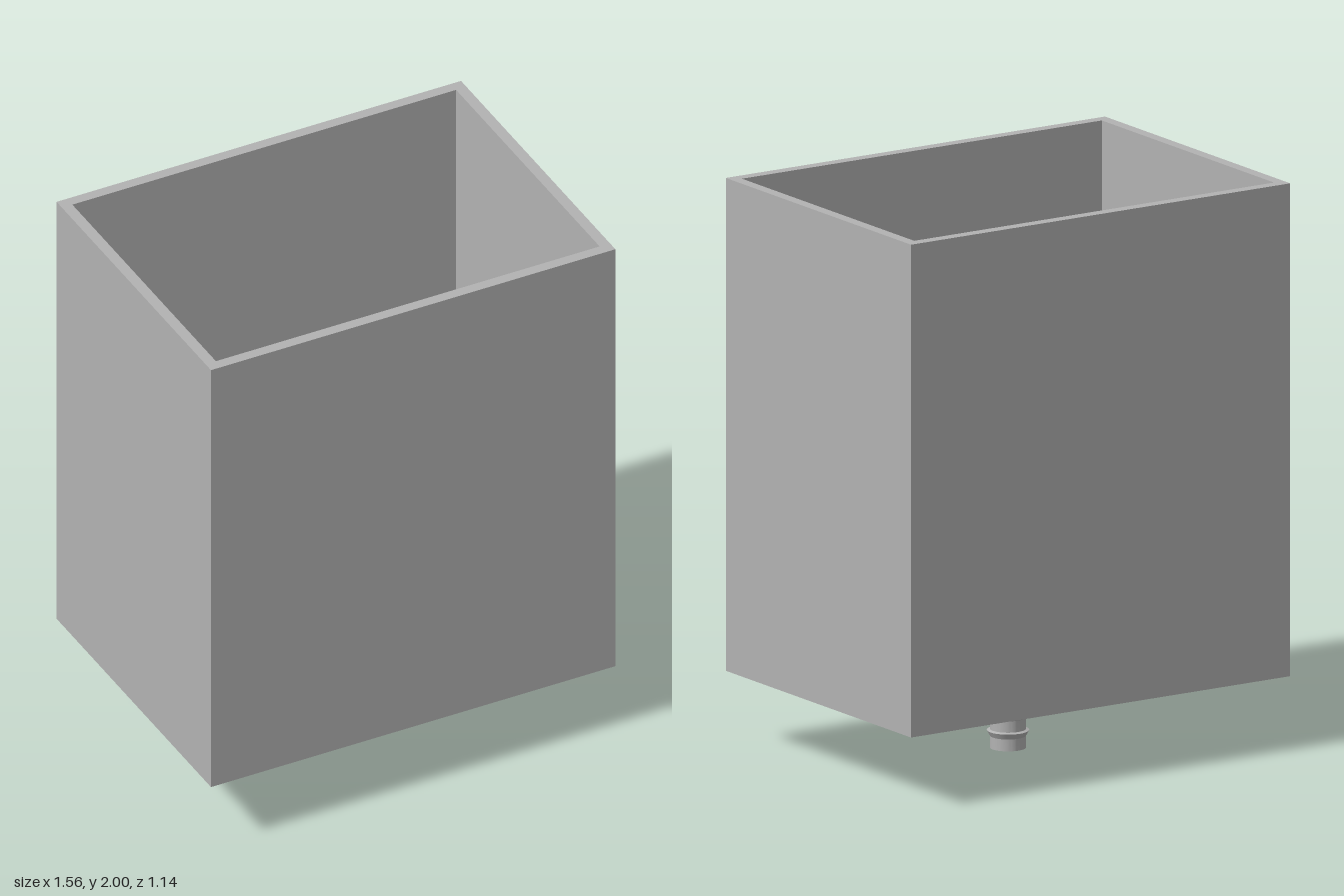
import * as THREE from 'three';
import { toCreasedNormals } from 'three/addons/utils/BufferGeometryUtils.js';

const WIDTH = 1.564, DEPTH = 1.14, WALL = 0.04;
const BASE = 0.26, TOP = 2, FLOOR = 0.04, BORE = 0.055;

// Traces a centred rectangle on a Shape or Path
function rectangle(path, w, d) {
  path.moveTo(-w / 2, -d / 2);
  path.lineTo(w / 2, -d / 2);
  path.lineTo(w / 2, d / 2);
  path.lineTo(-w / 2, d / 2);
  path.closePath();
  return path;
}

// Extrudes a plan shape upward from height y
function extrudeUp(shape, height, y) {
  const geometry = new THREE.ExtrudeGeometry(shape, {
    depth: height, bevelEnabled: false, curveSegments: 32,
  });
  return geometry.rotateX(-Math.PI / 2).translate(0, y, 0);
}

export function createModel() {
  const model = new THREE.Group();
  model.name = 'hopper';
  const grey = new THREE.MeshStandardMaterial({ color: 0xb2b2b2 });
  grey.name = 'grey';

  const add = (name, geometry) => {
    const mesh = new THREE.Mesh(geometry, grey);
    mesh.name = name;
    model.add(mesh);
  };

  // Four walls, open at the top
  const innerW = WIDTH - 2 * WALL, innerD = DEPTH - 2 * WALL;
  const walls = rectangle(new THREE.Shape(), WIDTH, DEPTH);
  walls.holes.push(rectangle(new THREE.Path(), innerW, innerD));
  add('walls', extrudeUp(walls, TOP - BASE, BASE));

  // Floor with the drain hole
  const floor = rectangle(new THREE.Shape(), innerW, innerD);
  floor.holes.push(new THREE.Path().absarc(0, 0, BORE, 0, Math.PI * 2, true));
  add('floor', extrudeUp(floor, FLOOR, BASE));

  // Hollow hose fitting: barbed stem, collar, then back down the bore
  const profile = [
    [BORE, 0], [0.062, 0], [0.062, 0.042], [0.073, 0.062], [0.062, 0.066],
    [0.062, 0.106], [0.073, 0.126], [0.062, 0.13], [0.062, 0.175],
    [0.083, 0.175], [0.083, BASE], [BORE, BASE], [BORE, 0],
  ].map(([r, y]) => new THREE.Vector2(r, y));
  add('hoseBarb', toCreasedNormals(new THREE.LatheGeometry(profile, 64), 0.4));

  return model;
}
